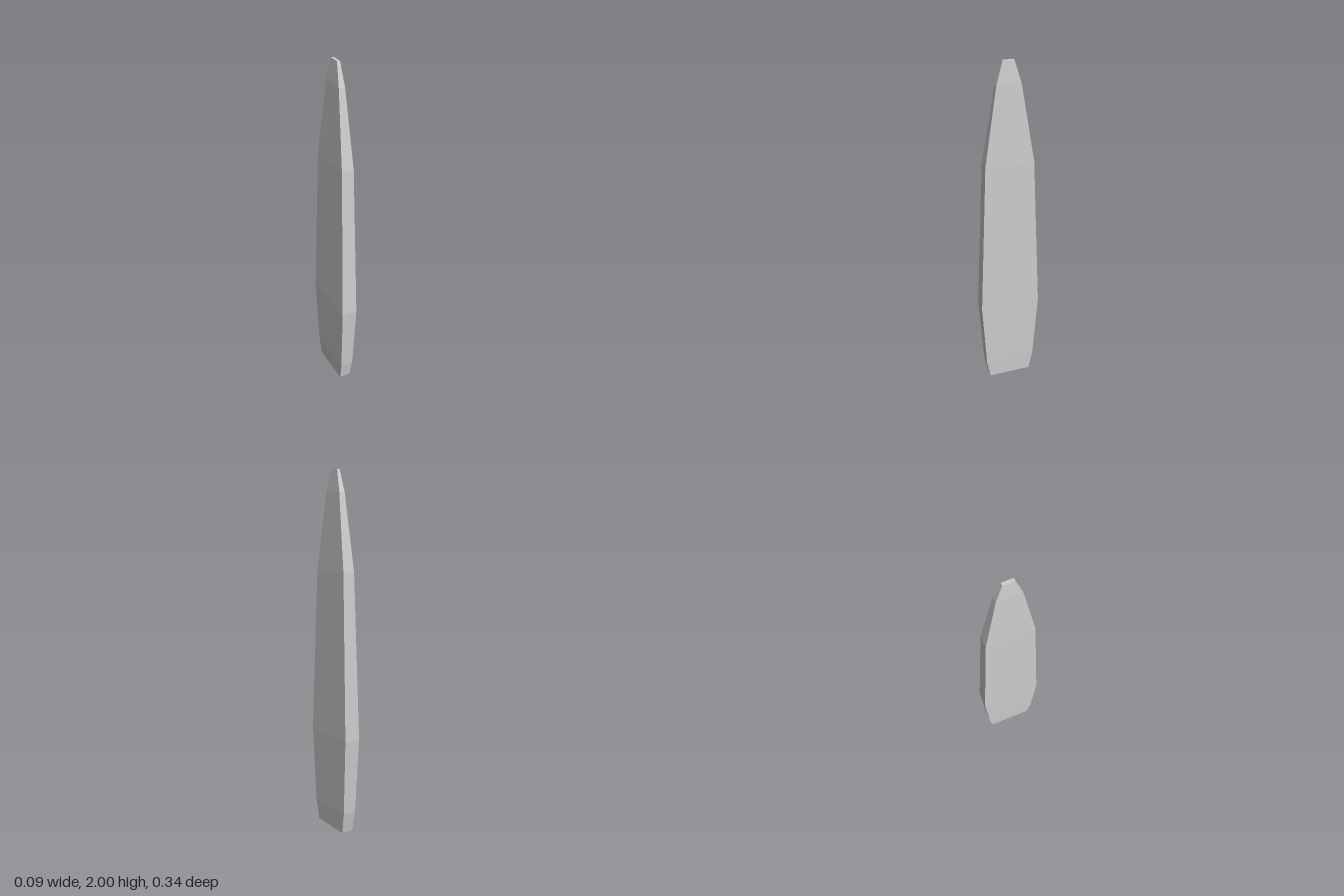
import * as THREE from 'three';

// Cross-sections from base to tip: height, half thickness (x), half width (z)
const SECTIONS = [
  [0, 0.033, 0.125],
  [0.12, 0.038, 0.147],
  [0.55, 0.045, 0.172],
  [1.46, 0.034, 0.132],
  [1.88, 0.017, 0.065],
  [2, 0.008, 0.03],
];

// Box whose horizontal rows of vertices are fitted to the cross-sections
function taperedBox(sections) {
  const rows = sections.length - 1;
  const geometry = new THREE.BoxGeometry(2, rows, 2, 1, rows, 1);
  const p = geometry.attributes.position;
  for (let i = 0; i < p.count; i++) {
    const [y, halfX, halfZ] = sections[Math.round(p.getY(i) + rows / 2)];
    p.setXYZ(i, Math.sign(p.getX(i)) * halfX, y, Math.sign(p.getZ(i)) * halfZ);
  }
  geometry.computeVertexNormals();
  return geometry;
}

export function createModel() {
  const model = new THREE.Group();
  model.name = 'taperedBlade';

  // Single faceted blade with a blunt tip and a flat base
  const material = new THREE.MeshStandardMaterial({ color: 0xcccccc, flatShading: true });
  const blade = new THREE.Mesh(taperedBox(SECTIONS), material);
  blade.name = 'blade';
  model.add(blade);

  return model;
}
